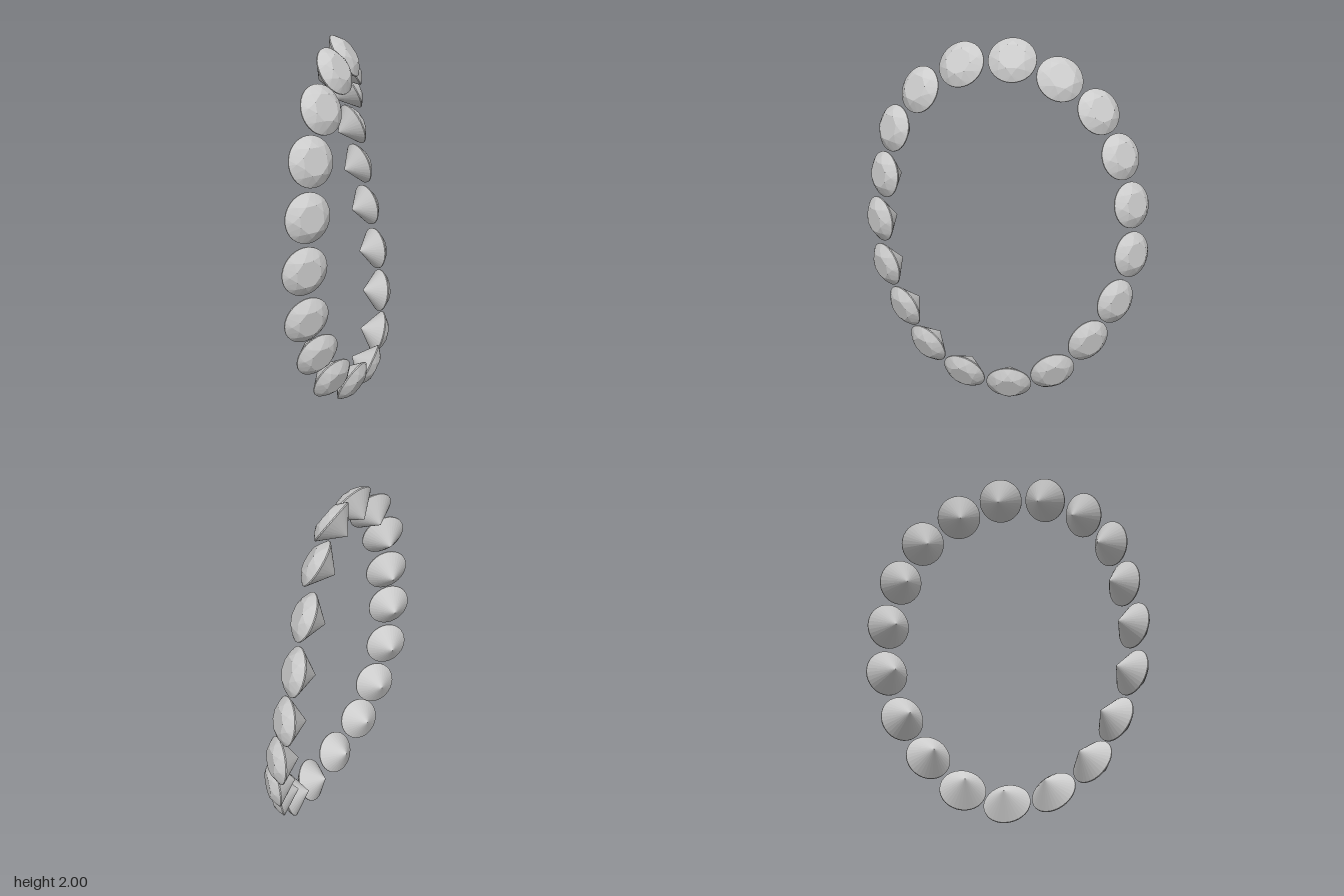
import * as THREE from 'three';

const R = 0.125;          // girdle radius
const CROWN = 0.044;      // table height above the girdle
const PAVILION = 0.108;   // depth of the point below the girdle
const EDGE = 0.003;       // half thickness of the girdle

// Round brilliant cut, table facing +y
function brilliantGeometry() {
  const pos = [];
  const point = (r, y, turn) => {
    const a = turn * Math.PI * 2;
    return new THREE.Vector3(Math.cos(a) * r, y, -Math.sin(a) * r);
  };
  const tri = (...pts) => pts.forEach((p) => pos.push(p.x, p.y, p.z));
  const table = (i) => point(0.07, CROWN, i / 8);
  const mid = (i) => point(0.097, 0.028, (i + 0.5) / 8);
  const rim = (j, y) => point(R, y, j / 32);
  const top = new THREE.Vector3(0, CROWN, 0);
  const tip = new THREE.Vector3(0, -PAVILION, 0);

  for (let i = 0; i < 8; i++) {
    tri(top, table(i), table(i + 1));                       // table
    tri(table(i), mid(i), table(i + 1));                    // star facet
    const corner = rim(4 * (i + 1), EDGE);
    tri(table(i + 1), mid(i), corner);                      // kite facet
    tri(table(i + 1), corner, mid(i + 1));
    for (let j = 4 * i; j < 4 * i + 4; j++) {
      tri(mid(i), rim(j, EDGE), rim(j + 1, EDGE));          // upper girdle facet
      tri(rim(j, EDGE), rim(j, -EDGE), rim(j + 1, -EDGE));  // girdle band
      tri(rim(j, EDGE), rim(j + 1, -EDGE), rim(j + 1, EDGE));
      tri(tip, rim(j + 1, -EDGE), rim(j, -EDGE));           // pavilion
    }
  }
  const geometry = new THREE.BufferGeometry();
  geometry.setAttribute('position', new THREE.Float32BufferAttribute(pos, 3));
  geometry.computeVertexNormals();
  return geometry;
}

// Gem centres around the loop, starting at the top
const CENTRES = [
  [0.04, 1.9, 0], [0.11, 1.8, -0.235], [0.16, 1.625, -0.435], [0.21, 1.385, -0.547],
  [0.26, 1.125, -0.6], [0.307, 0.86, -0.59], [0.338, 0.61, -0.49], [0.332, 0.395, -0.34],
  [0.28, 0.21, -0.155], [0.175, 0.12, 0.064], [0.03, 0.155, 0.28], [-0.117, 0.285, 0.45],
  [-0.213, 0.49, 0.555], [-0.28, 0.73, 0.635], [-0.29, 1.0, 0.657], [-0.268, 1.26, 0.625],
  [-0.24, 1.52, 0.57], [-0.165, 1.735, 0.44], [-0.06, 1.875, 0.243],
];

export function createModel() {
  const group = new THREE.Group();
  group.name = 'gemLoop';
  const geometry = brilliantGeometry();
  const material = new THREE.MeshStandardMaterial({ color: 0xcccccc, flatShading: true });
  const up = new THREE.Vector3(0, 1, 0);
  const normal = new THREE.Vector3(0.91, 0.12, 0.4);   // the way the loop faces
  const across = new THREE.Vector3(-0.4, 0, 0.916);    // its horizontal direction

  CENTRES.forEach((c, i) => {
    const gem = new THREE.Mesh(geometry, material);
    gem.name = `gem${i + 1}`;
    gem.position.set(...c);
    // Each table leans outward from the loop's normal
    const side = gem.position.dot(across);
    const axis = normal.clone()
      .addScaledVector(across, 1.45 * side)
      .addScaledVector(up, 0.65 * (c[1] - 1) - 0.2 * side)
      .normalize();
    gem.quaternion.setFromUnitVectors(up, axis);
    group.add(gem);
  });
  return group;
}
